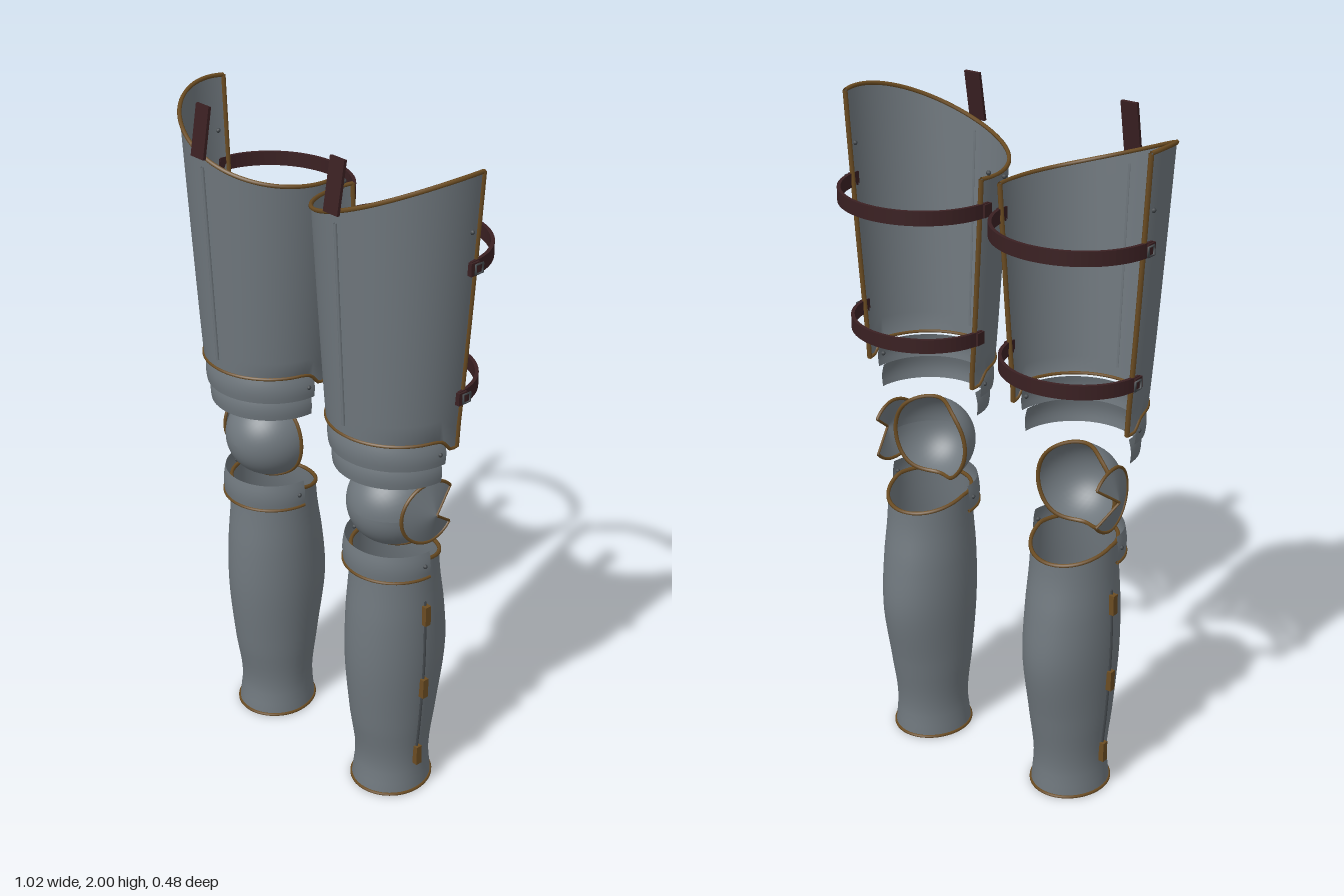
import * as THREE from 'three';
import { ParametricGeometry } from 'three/addons/geometries/ParametricGeometry.js';

const CX = 0.26; // centre of the left leg
const { sin, cos, PI, abs, max, min } = Math;

function material(name, color) {
  const m = new THREE.MeshStandardMaterial({ color, side: THREE.DoubleSide });
  m.name = name;
  return m;
}

// Curved sheet from a rule f(u, v) -> [x, y, z], x measured from the leg centre
function sheet(f, nu, nv, recompute = false) {
  const g = new ParametricGeometry((u, v, p) => {
    const [x, y, z] = f(u, v);
    p.set(x + CX, y, z);
  }, nu, nv);
  if (recompute) g.computeVertexNormals();
  return g;
}

// Rolled edge following a rule f(t) -> [x, y, z]
function edge(f, n, closed = false, r = 0.006) {
  const pts = [];
  for (let i = 0; i < n + (closed ? 0 : 1); i++) {
    const [x, y, z] = f(i / n);
    pts.push(new THREE.Vector3(x + CX, y, z));
  }
  return new THREE.TubeGeometry(new THREE.CatmullRomCurve3(pts, closed), n * 2, r, 6, closed);
}

function box(w, h, d, x, y, z, rx = 0) {
  return new THREE.BoxGeometry(w, h, d).rotateX(rx).translate(x + CX, y, z);
}

// Thigh plate, flared and open at the back, with a slanted top
function thigh(u, v) {
  const a = (u * 2 - 1) * (PI / 2 + 0.21);
  const s = sin(a);
  const top = 1.862 + 0.085 * s + 0.02 * s * s;
  const bottom = 1.22 - 0.04 * min(1, max(0, abs(a) - 1.45) / 0.2);
  const y = bottom + (top - bottom) * v;
  const t = max(0, (y - 1.22) / 0.75);
  return [(0.192 + 0.053 * t ** 0.85) * s, y, (0.19 + 0.04 * t) * cos(a)];
}

// Half-ring lame between two heights, slightly bulged
function lame(y0, y1, rx, rz) {
  return (u, v) => {
    const a = (u - 0.5) * PI;
    const k = 1 + 0.03 * sin(v * PI) - 0.03 * v;
    return [rx * k * sin(a), y0 + (y1 - y0) * v, rz * k * cos(a)];
  };
}

// Knee cop: half ellipsoid with its rim scooped forward above and below
function knee(u, v) {
  const a = u * 2 * PI;
  const b = v * (PI / 2 - 0.3 * abs(sin(a)) ** 8);
  return [0.13 * sin(b) * cos(a), 0.955 + 0.128 * sin(b) * sin(a), 0.14 * cos(b)];
}

// Side wing: shallow cone with a notch facing back
function wing(u, v) {
  const a = 0.66 + u * (2 * PI - 1.32);
  const z = -0.095 * v * cos(a);
  return [0.152 - 0.025 * v - max(0, z) * 0.15, 0.96 + 0.092 * v * sin(a), z - 0.01];
}

// Greave cross-sections by height: half width, front depth, back depth
const greaveRows = new THREE.CubicInterpolant(
  [0, 0.1, 0.25, 0.45, 0.6, 0.72, 0.82],
  [0.113, 0.116, 0.127, 0.105, 0.104, 0.120, 0.116, 0.126, 0.142, 0.128, 0.145, 0.174,
    0.128, 0.142, 0.160, 0.123, 0.130, 0.138, 0.120, 0.122, 0.130], 3);

function greave(u, v) {
  const a = u * 2 * PI - PI;
  const c = cos(a);
  const y = 0.005 + v * (0.805 - 0.035 * max(0, -c));
  const [rx, front, back] = greaveRows.evaluate(y);
  return [rx * sin(a), y, c * (c > 0 ? front : back)];
}

// Strap running round the back of the thigh
function strap(y, rx, rz) {
  const shape = new THREE.Shape();
  shape.absellipse(0, 0, rx, rz, 0, PI, false);
  shape.absellipse(0, 0, rx - 0.01, rz - 0.01, PI, 0, true);
  const g = new THREE.ExtrudeGeometry(shape, { depth: 0.04, bevelEnabled: false, curveSegments: 20 });
  return g.rotateX(-PI / 2).translate(CX, y - 0.02, -0.02);
}

// Copy of a geometry on the other side of x = 0
function mirrored(source) {
  const g = source.clone().applyMatrix4(new THREE.Matrix4().makeScale(-1, 1, 1));
  const n = g.attributes.position.count;
  const index = g.index ? Array.from(g.index.array) : Array.from({ length: n }, (_, i) => i);
  for (let i = 0; i < index.length; i += 3) {
    [index[i + 1], index[i + 2]] = [index[i + 2], index[i + 1]];
  }
  g.setIndex(index);
  return g;
}

export function createModel() {
  const steel = material('steel', 0x6f777d);
  const bronze = material('bronze trim', 0x6b4c22);
  const leather = material('dark leather', 0x3a2022);
  const rivetSteel = material('dark rivet', 0x43484c);

  const left = new THREE.Group();
  left.name = 'leftLeg';
  const add = (name, geometry, mat) => {
    const mesh = new THREE.Mesh(geometry, mat);
    mesh.name = name;
    left.add(mesh);
  };

  // Thigh plate and its rolled edges
  add('thighPlate', sheet(thigh, 40, 12), steel);
  add('thighTopTrim', edge(t => thigh(t, 1), 24), bronze);
  add('thighBottomTrim', edge(t => thigh(t, 0), 24, false, 0.005), bronze);
  for (const u of [0, 1]) add('thighBackTrim', edge(t => thigh(u, t), 10, false, 0.007), bronze);
  add('thighRidge', edge(t => {
    const [x, y, z] = thigh(0.5, 0.05 + t * 0.9);
    return [x, y, z + 0.002];
  }, 8, false, 0.005), steel);
  add('hangingStrap', box(0.052, 0.142, 0.009, 0, 1.929, 0.226, -0.17), leather);

  // Lames above and below the knee
  add('upperLame', sheet(lame(1.14, 1.215, 0.187, 0.182), 32, 5), steel);
  add('middleLame', sheet(lame(1.08, 1.15, 0.174, 0.172), 32, 5), steel);
  add('lowerLame', sheet(lame(0.765, 0.845, 0.143, 0.143), 32, 5), steel);
  add('lowerLameTrim', edge(t => lame(0.765, 0.845, 0.143, 0.143)(t, 0), 20, false, 0.005), bronze);

  // Knee cop and side wing
  add('kneeCop', sheet(knee, 40, 14, true), steel);
  add('kneeTrim', edge(t => knee(t, 1), 40, true, 0.006), bronze);
  add('kneeWing', sheet(wing, 28, 4, true), steel);
  add('kneeWingTrim', edge(t => wing(t, 1), 24, false, 0.005), bronze);
  for (const u of [0, 1]) add('wingNotchTrim', edge(t => wing(u, t), 3, false, 0.004), bronze);

  // Greave with rims, side seam and hinges
  add('greave', sheet(greave, 40, 24), steel);
  add('greaveTopTrim', edge(t => greave(t, 1), 32, true), bronze);
  add('greaveBottomTrim', edge(t => greave(t, 0), 32, true, 0.005), bronze);
  add('greaveSeam', edge(t => {
    const [x, y, z] = greave(0.75, 0.12 + t * 0.71);
    return [x + 0.002, y, z];
  }, 12, false, 0.004), rivetSteel);
  for (const y of [0.63, 0.38, 0.13]) {
    add('hinge', box(0.018, 0.062, 0.02, greave(0.75, y / 0.81)[0] + 0.006, y, 0), bronze);
  }

  // Back straps with buckles at their ends
  for (const [y, rx, rz] of [[1.71, 0.236, 0.22], [1.335, 0.21, 0.192]]) {
    add('backStrap', strap(y, rx, rz), leather);
    for (const s of [-1, 1]) add('strapEnd', box(0.014, 0.036, 0.03, s * (rx - 0.002), y, -0.03), leather);
    const buckle = new THREE.TorusGeometry(0.018, 0.004, 4, 4).rotateZ(PI / 4).rotateY(PI / 2);
    add('buckle', buckle.translate(CX + rx + 0.008, y, -0.04), rivetSteel);
  }

  // Rivets at the pivots
  for (const s of [-1, 1]) {
    for (const [x, y, z] of [[0.234, 1.81, -0.02], [0.187, 1.175, 0.02], [0.143, 0.805, 0.02]]) {
      add('rivet', new THREE.SphereGeometry(0.007, 8, 6).translate(CX + s * x, y, z), rivetSteel);
    }
  }

  // Right leg is the mirror image
  const right = new THREE.Group();
  right.name = 'rightLeg';
  for (const part of left.children) {
    const mesh = new THREE.Mesh(mirrored(part.geometry), part.material);
    mesh.name = part.name;
    right.add(mesh);
  }

  const model = new THREE.Group();
  model.name = 'legArmour';
  model.add(left, right);
  return model;
}
